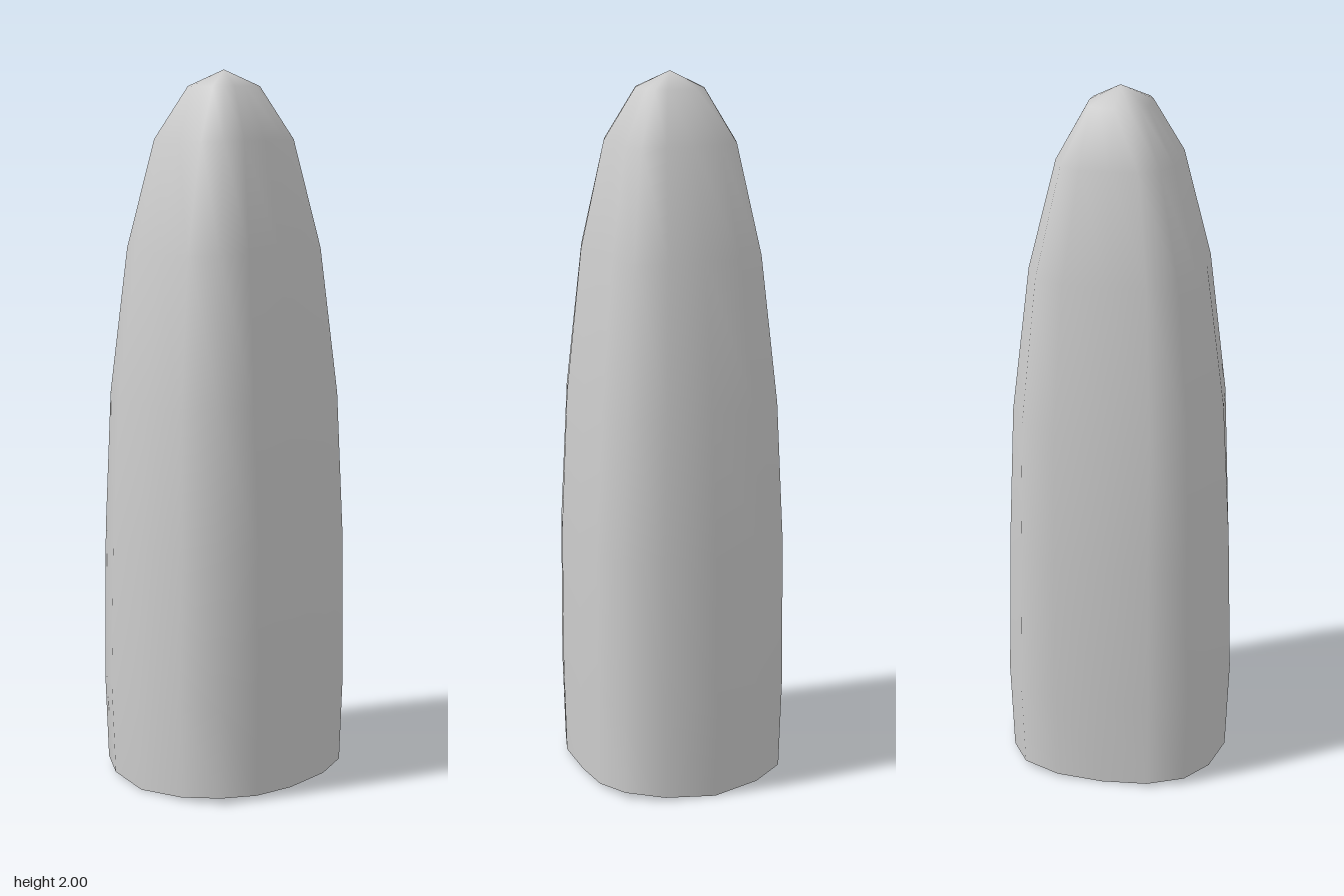
import * as THREE from 'three';

// Quarter cross-section, as fractions of the half width and half depth
const QUARTER = [[1, 0], [0.92, 0.515], [0.74, 0.872], [0.415, 1]];
const CORNER = [[1, 0], [0.97, 0.485], [0.81, 0.855], [0.475, 1]];

// Rings from the open base to the tip: height, half width, half depth, squareness
const RINGS = [
  [0, 0.32, 0.275, 0],
  [0.27, 0.33, 0.28, 0],
  [0.7, 0.317, 0.28, 0.1],
  [1.1, 0.294, 0.26, 0.6],
  [1.51, 0.24, 0.22, 1],
  [1.81, 0.165, 0.164, 1],
  [1.955, 0.085, 0.085, 0.8],
];

// Full 16-sided outline, mirrored from the quarter, running from +x towards +z
function outline(halfWidth, halfDepth, square) {
  const q = QUARTER.map(([x, z], i) => [
    halfWidth * THREE.MathUtils.lerp(x, CORNER[i][0], square),
    halfDepth * THREE.MathUtils.lerp(z, CORNER[i][1], square),
  ]);
  q.push([0, halfDepth]);
  const half = [...q, ...q.slice(0, 4).reverse().map(([x, z]) => [-x, z])];
  return [...half, ...half.slice(1, -1).reverse().map(([x, z]) => [x, -z])];
}

function shellGeometry() {
  const positions = [];
  const indices = [];
  const sides = 16;
  RINGS.forEach(([y, w, d, square], j) => {
    outline(w, d, square).forEach(([x, z], i) => {
      // The base rim rises slightly at the corners
      const lift = j === 0 ? 0.018 * Math.sin((i / sides) * Math.PI * 4) ** 2 : 0;
      positions.push(x, y + lift, z);
    });
  });
  const tip = positions.length / 3;
  positions.push(0, 2, 0);

  for (let j = 0; j < RINGS.length; j++) {
    for (let i = 0; i < sides; i++) {
      const a = j * sides + i;
      const b = j * sides + ((i + 1) % sides);
      if (j === RINGS.length - 1) indices.push(a, tip, b);
      else indices.push(a, a + sides, b + sides, a, b + sides, b);
    }
  }
  const geometry = new THREE.BufferGeometry();
  geometry.setAttribute('position', new THREE.Float32BufferAttribute(positions, 3));
  geometry.setIndex(indices);
  geometry.computeVertexNormals();
  return geometry;
}

export function createModel() {
  const model = new THREE.Group();
  // Tapered hollow shell, open underneath
  const shell = new THREE.Mesh(
    shellGeometry(),
    new THREE.MeshStandardMaterial({ color: 0xcccccc, side: THREE.DoubleSide })
  );
  shell.name = 'taperedShell';
  model.add(shell);
  return model;
}
